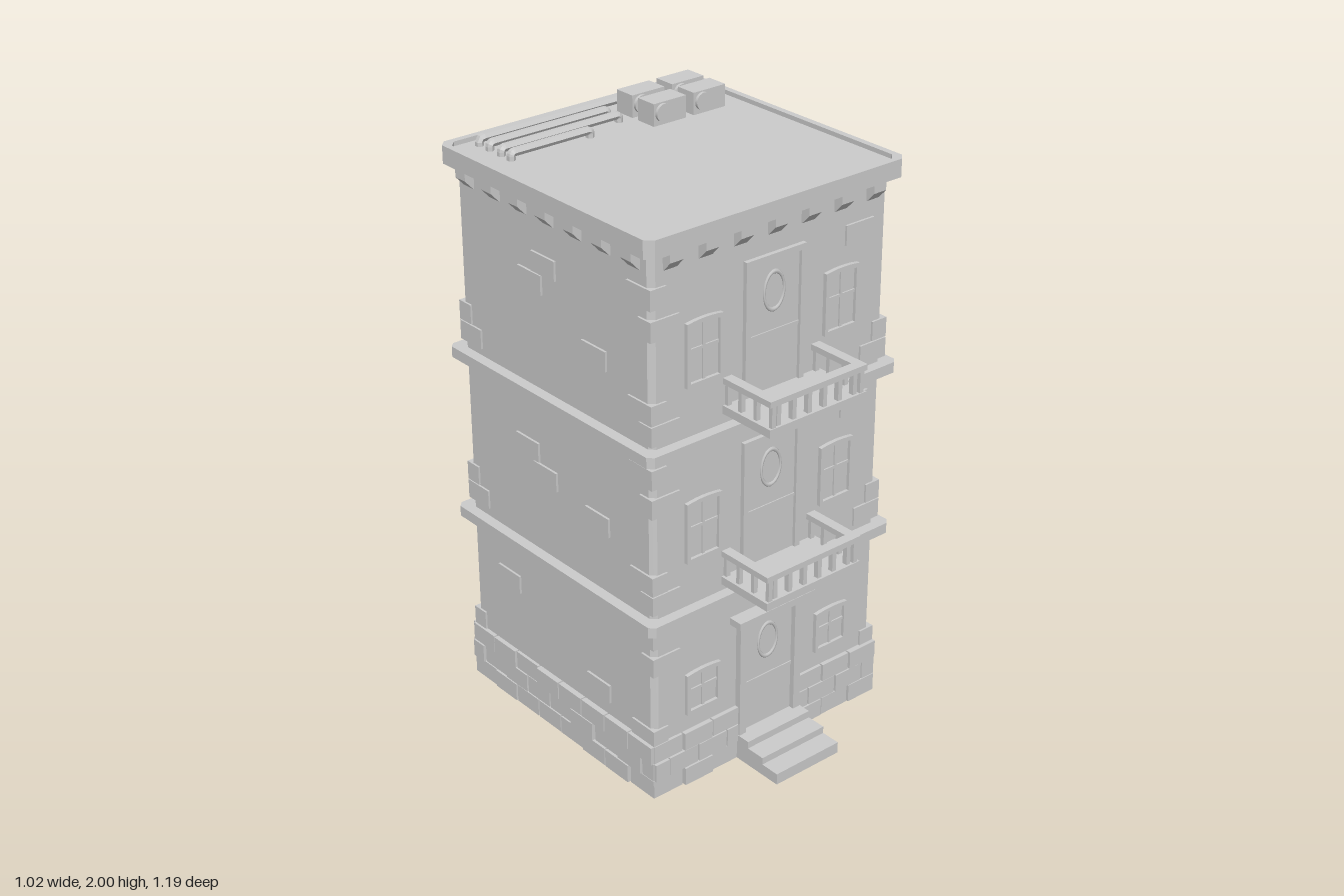
import * as THREE from 'three';

const mat = new THREE.MeshStandardMaterial({ color: 0xcccccc });
const openMat = new THREE.MeshStandardMaterial({ color: 0xcccccc, side: THREE.DoubleSide });
const CZ = -0.085;   // centre of the tower in z
const WALL = 0.473;  // half width of the walls

let seed = 7;
const rnd = () => (seed = (seed * 16807) % 2147483647) / 2147483647;

function add(parent, name, geo, x = 0, y = 0, z = 0) {
  const m = new THREE.Mesh(geo, mat);
  m.name = name;
  m.position.set(x, y, z);
  parent.add(m);
  return m;
}

// Box given by its limits on each axis
function block(parent, name, x0, x1, y0, y1, z0, z1) {
  return add(parent, name, new THREE.BoxGeometry(x1 - x0, y1 - y0, z1 - z0),
    (x0 + x1) / 2, (y0 + y1) / 2, (z0 + z1) / 2);
}

// Square with cut corners
function cutSquare(h, c) {
  const k = h - c;
  return [[k, -h], [h, -k], [h, k], [k, h], [-k, h], [-h, k], [-h, -k], [-k, -h]]
    .map(([x, y]) => new THREE.Vector2(x, y));
}

// Cut square, optionally hollow, raised from y0 to y1
function slab(parent, name, h, c, y0, y1, inner = 0) {
  const s = new THREE.Shape(cutSquare(h, c));
  if (inner) s.holes.push(new THREE.Path(cutSquare(inner, c)));
  const g = new THREE.ExtrudeGeometry(s, { depth: y1 - y0, bevelEnabled: false });
  g.rotateX(-Math.PI / 2);
  return add(parent, name, g, 0, y0, 0);
}

// Open-ended wall shell: the sides of an extrusion without its caps
function shell(parent, name, h, c, y0, y1) {
  const full = new THREE.ExtrudeGeometry(new THREE.Shape(cutSquare(h, c)), { depth: y1 - y0, bevelEnabled: false });
  const { start, count } = full.groups[1];
  const g = new THREE.BufferGeometry();
  for (const key of ['position', 'normal']) {
    const a = full.attributes[key].array.slice(start * 3, (start + count) * 3);
    g.setAttribute(key, new THREE.BufferAttribute(a, 3));
  }
  g.rotateX(-Math.PI / 2);
  add(parent, name, g, 0, y0, 0).material = openMat;
}

// Outline with a shallow arched top
function archPath(P, w, y0, y1, rise) {
  const p = new P();
  p.moveTo(-w, y0);
  p.lineTo(w, y0);
  p.lineTo(w, y1 - rise);
  p.quadraticCurveTo(0, y1 + rise, -w, y1 - rise);
  p.closePath();
  return p;
}

function frame(parent, name, w, y0, y1, t, rise, depth, z, bottom = t) {
  const s = archPath(THREE.Shape, w, y0, y1, rise);
  s.holes.push(archPath(THREE.Path, w - t, y0 + bottom, y1 - t, rise));
  return add(parent, name, new THREE.ExtrudeGeometry(s, { depth, bevelEnabled: false, curveSegments: 6 }), 0, 0, z);
}

function makeWindow(parent, x, y0, y1) {
  const g = new THREE.Group();
  g.name = 'window';
  g.position.x = x;
  parent.add(g);
  frame(g, 'windowFrame', 0.07, y0, y1, 0.013, 0.006, 0.04, 0.447);
  block(g, 'glass', -0.06, 0.06, y0 + 0.01, y1 - 0.012, 0.455, WALL + 0.003);
  block(g, 'mullion', -0.005, 0.005, y0 + 0.01, y1 - 0.01, 0.46, 0.481);
  const mid = y0 + (y1 - y0) * 0.55;
  block(g, 'glazingBar', -0.06, 0.06, mid - 0.005, mid + 0.005, 0.46, 0.481);
}

function makeDoor(parent, y0, y1, w) {
  const g = new THREE.Group();
  g.name = 'door';
  parent.add(g);
  frame(g, 'doorFrame', w, y0, y1, 0.02, 0, 0.045, 0.443, 0.002);
  block(g, 'doorLeaf', -w + 0.015, w - 0.015, y0, y1 - 0.015, 0.45, WALL + 0.004);
  const oval = add(g, 'ovalWindow', new THREE.TorusGeometry(0.04, 0.005, 6, 24), 0, y1 - 0.125, WALL + 0.004);
  oval.scale.y = 1.55;
  block(g, 'doorRail', -w + 0.02, w - 0.02, y1 - 0.262, y1 - 0.252, 0.46, WALL + 0.008);
}

function makeBalcony(parent, y) {
  const g = new THREE.Group();
  g.name = 'balcony';
  parent.add(g);
  const w = 0.197, z1 = 0.685, t = 0.035;
  block(g, 'balconyFloor', -w, w, y, y + 0.028, 0.46, z1);
  block(g, 'frontRail', -w, w, y + 0.1, y + 0.12, z1 - t, z1);
  for (let i = 0; i < 6; i++) {
    const x = -0.155 + i * 0.062;
    block(g, 'baluster', x - 0.008, x + 0.008, y + 0.028, y + 0.1, z1 - 0.026, z1 - 0.008);
  }
  for (const s of [-1, 1]) {
    const x = s * (w - t / 2);
    block(g, 'sideRail', x - t / 2, x + t / 2, y + 0.1, y + 0.12, 0.46, z1 - t);
    for (const z of [0.675, 0.607, 0.539, 0.479])
      block(g, 'baluster', x - 0.008, x + 0.008, y + 0.028, y + 0.1, z - 0.007, z + 0.007);
  }
}

// Courses of uneven bricks with open joints round the foot of one side
function makeFooting(side, gap) {
  const n = 8, end = 0.483, len = 2 * end / n, ch = 0.2 / 3, joint = 0.0025;
  for (let r = 0; r < 3; r++) {
    for (let i = 0; i <= n; i++) {
      const off = r % 2 ? 0.5 : 0;
      const a = Math.max(-end, -end + (i - off) * len), b = Math.min(end, -end + (i + 1 - off) * len);
      if (b - a < 0.01) continue;
      const out = 0.482 + rnd() * 0.012, inn = (i + r) % 2 ? 0.385 : 0.44;
      const put = (p, q) => q - p > 0.01 &&
        block(side, 'footingBrick', p + joint, q - joint, r * ch, (r + 1) * ch - joint, inn, out);
      if (gap) { put(a, Math.min(b, -gap)); put(Math.max(a, gap), b); } else put(a, b);
    }
  }
}

// Sloped bracket under the roof edge
const corbelShape = new THREE.Shape([[-0.01, 1.818], [0.003, 1.82], [0.033, 1.852], [0.033, 1.885], [-0.01, 1.885]]
  .map(([x, y]) => new THREE.Vector2(x, y)));
const corbelGeo = new THREE.ExtrudeGeometry(corbelShape, { depth: 0.05, bevelEnabled: false });
corbelGeo.rotateY(-Math.PI / 2).translate(0.025, 0, 0);

function makeAirUnit(parent, x, z) {
  const g = new THREE.Group();
  g.name = 'airUnit';
  parent.add(g);
  block(g, 'casing', x, x + 0.133, 1.92, 2, z - 0.078, z);
  const fan = add(g, 'fanRing', new THREE.CylinderGeometry(0.03, 0.03, 0.02, 20), x + 0.036, 1.966, z);
  fan.rotation.x = Math.PI / 2;
}

// Six-sided pipe along the given points, with both ends turned down into the roof
function makePipe(parent, pts) {
  const v = pts.map(([x, z]) => new THREE.Vector3(x, 1.949, z));
  const path = new THREE.CurvePath();
  const all = [v[0].clone().setY(1.915), ...v, v[v.length - 1].clone().setY(1.915)];
  let from = all[0];
  for (let i = 1; i < all.length - 1; i++) {
    const r = i > 1 && i < all.length - 2 ? 0.035 : 0.012;
    const p = all[i].clone().lerp(all[i - 1], r / all[i].distanceTo(all[i - 1]));
    const q = all[i].clone().lerp(all[i + 1], r / all[i].distanceTo(all[i + 1]));
    path.add(new THREE.LineCurve3(from, p));
    path.add(new THREE.QuadraticBezierCurve3(p, all[i], q));
    from = q;
  }
  path.add(new THREE.LineCurve3(from, all[all.length - 1]));
  const geo = new THREE.TubeGeometry(path, 90, 0.014, 6).toNonIndexed();
  geo.computeVertexNormals();
  add(parent, 'roofPipe', geo);
}

export function createModel() {
  const root = new THREE.Group();
  root.name = 'building';
  const tower = new THREE.Group();
  tower.name = 'tower';
  tower.position.z = CZ;
  root.add(tower);

  // Walls, storey bands and roof with a low rim
  shell(tower, 'walls', WALL, 0.018, 0, 1.9);
  for (const y of [0.625, 1.215]) slab(tower, 'storeyBand', 0.51, 0.018, y, y + 0.037, 0.45);
  slab(tower, 'roofDeck', 0.5, 0.02, 1.885, 1.925);
  slab(tower, 'roofRim', 0.51, 0.024, 1.88, 1.94, 0.488);

  // Stray bricks on each side: [across, height], seen from outside that side
  const strays = [
    [[0.35, 1.73], [0.35, 1.14]],
    [[0.05, 1.75], [0.23, 1.59], [0.05, 1.15], [0.12, 1.08], [-0.24, 0.37], [-0.02, 0.32]],
    [[-0.32, 1.6], [0.17, 1.71], [-0.32, 1.34], [-0.32, 1.03], [0.17, 1.12], [0.11, 0.32]],
    [[-0.03, 1.68], [-0.1, 1.61], [0.21, 1.47], [-0.14, 1.02], [-0.05, 0.95], [0.21, 0.9], [-0.27, 0.47], [0.2, 0.28]],
  ];
  // Corner brick heights in the top storey, for the corner at the +x end of each side
  const corners = [[1.3, 1.37], [1.42, 1.35], [1.38, 1.31], [1.74, 1.64, 1.37, 1.3]];
  const sides = ['front', 'left', 'back', 'right'].map((name, i) => {
    const side = new THREE.Group();
    side.name = name + 'Side';
    side.rotation.y = i * Math.PI / 2;
    tower.add(side);
    makeFooting(side, i === 0 ? 0.13 : 0);
    for (let k = -3; k <= 3; k++) add(side, 'corbel', corbelGeo, k * 0.134, 0, WALL);
    for (const [x, y] of strays[i]) block(side, 'wallBrick', x - 0.058, x + 0.058, y - 0.033, y + 0.033, 0.455, WALL + 0.008);
    for (const drop of [0, 0.585, 1.15])
      corners[i].forEach((y, k) => {
        const long = 0.37, short = 0.42, c = y - drop;
        block(side, 'cornerBrick', k % 2 ? short : long, 0.48, c - 0.033, c + 0.033, k % 2 ? long : short, 0.48);
      });
    return side;
  });

  // Front openings
  const front = sides[0];
  for (const [y0, y1] of [[0.26, 0.415], [0.82, 1.035], [1.42, 1.635]])
    for (const s of [-1, 1]) makeWindow(front, s * 0.277, y0, y1);
  makeDoor(front, 0.085, 0.525, 0.13);
  makeDoor(front, 0.66, 1.16, 0.12);
  makeDoor(front, 1.25, 1.76, 0.12);
  for (const s of [-1, 1])
    block(front, 'doorPost', s * 0.118 - 0.014, s * 0.118 + 0.014, 0, 0.525, 0.45, 0.495);
  block(front, 'doorLintel', -0.16, 0.16, 0.52, 0.545, 0.45, 0.525);
  makeBalcony(front, 0.685);
  makeBalcony(front, 1.285);

  // Entrance steps
  [[0.04, 0.68], [0.065, 0.61], [0.09, 0.54]].forEach(([y, z], i) =>
    block(front, 'step', -0.135, 0.135, i ? y - 0.025 : 0, y, 0.45, z));

  // Roof equipment
  const roof = new THREE.Group();
  roof.name = 'roofEquipment';
  root.add(roof);
  for (const x of [0.114, 0.279]) for (const z of [-0.411, -0.304]) makeAirUnit(roof, x, z);
  makePipe(roof, [[-0.4, -0.527], [0.453, -0.527], [0.453, -0.41]]);
  makePipe(roof, [[-0.4, -0.473], [0.06, -0.473]]);
  makePipe(roof, [[-0.4, -0.413], [0.06, -0.413]]);
  makePipe(roof, [[-0.4, -0.363], [-0.095, -0.363]]);
  return root;
}
